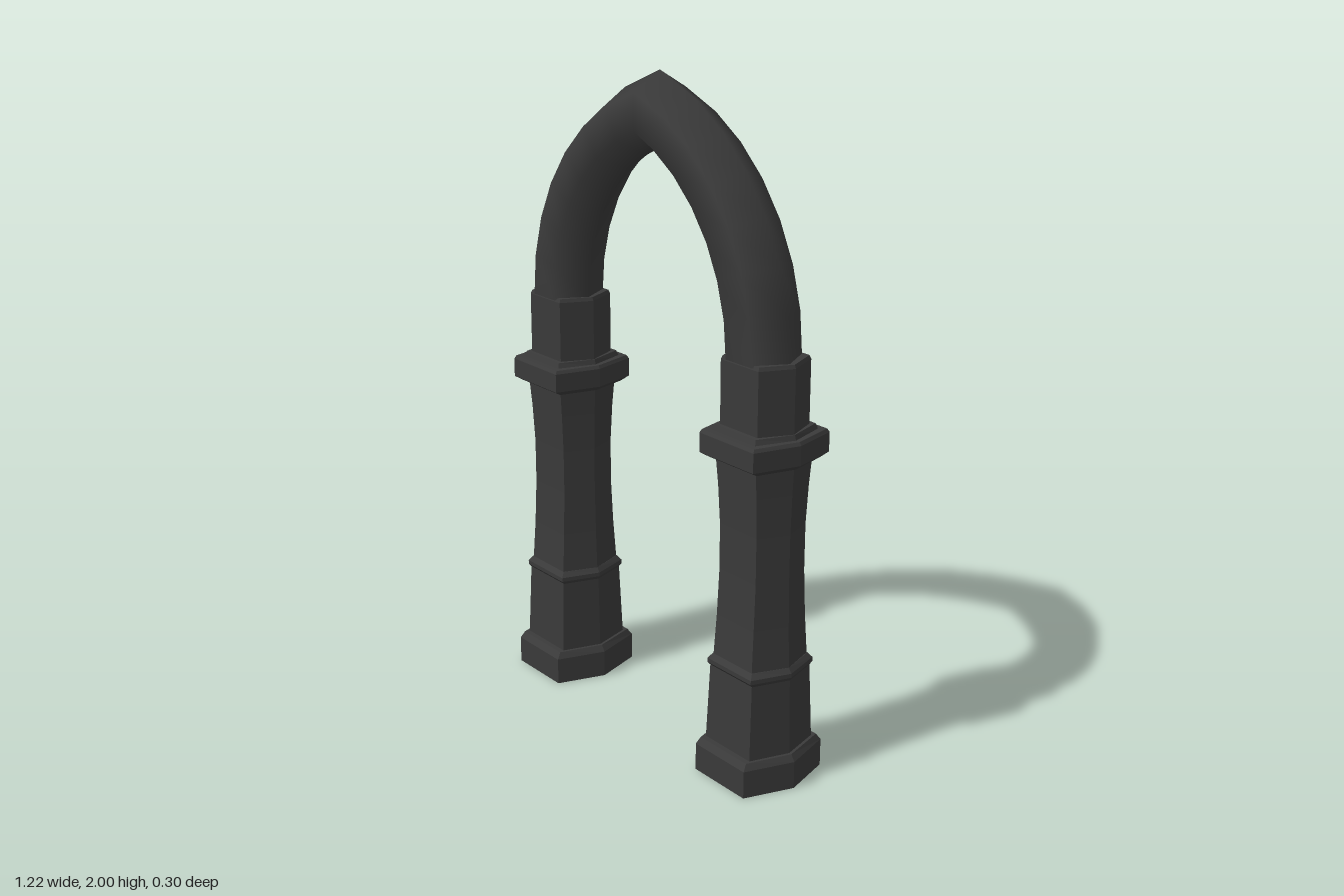
import * as THREE from 'three';

const stone = new THREE.MeshStandardMaterial({ color: 0x3a3a3a });
const flatStone = new THREE.MeshStandardMaterial({ color: 0x3a3a3a, flatShading: true });

// Joins equal-sized rings of points into a skin, with end caps if wanted
function loft(rings, capped) {
  const n = rings[0].length;
  const index = [];
  for (let i = 0; i < rings.length - 1; i++) {
    for (let j = 0; j < n; j++) {
      const a = i * n + j, b = i * n + (j + 1) % n;
      index.push(a, b, a + n, b, b + n, a + n);
    }
  }
  const last = (rings.length - 1) * n;
  for (let j = 1; capped && j < n - 1; j++) {
    index.push(0, j + 1, j, last, last + j, last + j + 1);
  }
  const geo = new THREE.BufferGeometry();
  geo.setAttribute('position', new THREE.Float32BufferAttribute(rings.flat(2), 3));
  geo.setIndex(index);
  geo.computeVertexNormals();
  return geo;
}

// Six-sided ring: half width to the side points, half depth, half width of the flat face
const hexRing = ([y, w, d, f]) => [
  [w, y, 0], [f, y, -d], [-f, y, -d], [-w, y, 0], [-f, y, d], [f, y, d],
];

function columnPart(name, rows) {
  const mesh = new THREE.Mesh(loft(rows.map(hexRing), true), flatStone);
  mesh.name = name;
  return mesh;
}

function createColumn(name, x) {
  const column = new THREE.Group();
  column.name = name;
  column.position.x = x;
  column.add(
    columnPart('base', [
      [0, 0.155, 0.152, 0.106], [0.085, 0.155, 0.152, 0.106], [0.105, 0.142, 0.138, 0.1],
    ]),
    columnPart('pedestal', [
      [0.1, 0.133, 0.122, 0.096], [0.345, 0.127, 0.112, 0.09],
    ]),
    columnPart('moulding', [
      [0.335, 0.126, 0.11, 0.09], [0.347, 0.133, 0.12, 0.094],
      [0.36, 0.133, 0.12, 0.094], [0.375, 0.122, 0.108, 0.085],
    ]),
    columnPart('shaft', [
      [0.37, 0.122, 0.107, 0.083], [0.5, 0.117, 0.099, 0.079], [0.64, 0.114, 0.093, 0.077],
      [0.78, 0.114, 0.093, 0.077], [0.9, 0.118, 0.099, 0.08], [0.99, 0.123, 0.106, 0.084],
    ]),
    columnPart('collar', [
      [0.98, 0.13, 0.118, 0.1], [0.995, 0.148, 0.142, 0.112],
      [1.053, 0.148, 0.142, 0.112], [1.063, 0.142, 0.136, 0.108],
    ]),
    columnPart('collarStep', [
      [1.06, 0.128, 0.118, 0.092], [1.078, 0.122, 0.112, 0.086],
    ]),
    columnPart('impost', [
      [1.07, 0.119, 0.097, 0.077], [1.265, 0.119, 0.097, 0.077], [1.276, 0.115, 0.093, 0.074],
    ]),
  );
  return column;
}

// Pointed arch: two circular arcs meeting in a mitred apex, swept with a hexagon
function createArch() {
  const springY = 1.27, offset = 0.204, radius = 0.656, tube = 0.104, steps = 7;
  const apexAngle = Math.acos(offset / radius);
  const half = [];
  for (let i = 0; i <= steps; i++) {
    const t = apexAngle * i / steps;
    const ring = [];
    for (let k = 0; k < 6; k++) {
      const a = k * Math.PI / 3;
      const out = tube * Math.cos(a), z = tube * 0.9 * Math.sin(a) / Math.sin(Math.PI / 3);
      // The apex ring is upright so that both halves share it
      ring.push(i === steps
        ? [0, springY + radius * Math.sin(t) + out / Math.sin(t), z]
        : [(radius + out) * Math.cos(t) - offset, springY + (radius + out) * Math.sin(t), z]);
    }
    half.push(ring);
  }
  const mirrored = half.slice(0, -1).reverse()
    .map(ring => ring.map(([x, y, z]) => [-x, y, z]));
  const arch = new THREE.Mesh(loft([...half, ...mirrored].reverse(), false), stone);
  arch.name = 'arch';
  arch.position.z = 0.007;
  return arch;
}

export function createModel() {
  const model = new THREE.Group();
  model.name = 'archway';
  model.add(createColumn('leftColumn', 0.453), createColumn('rightColumn', -0.453), createArch());
  return model;
}
